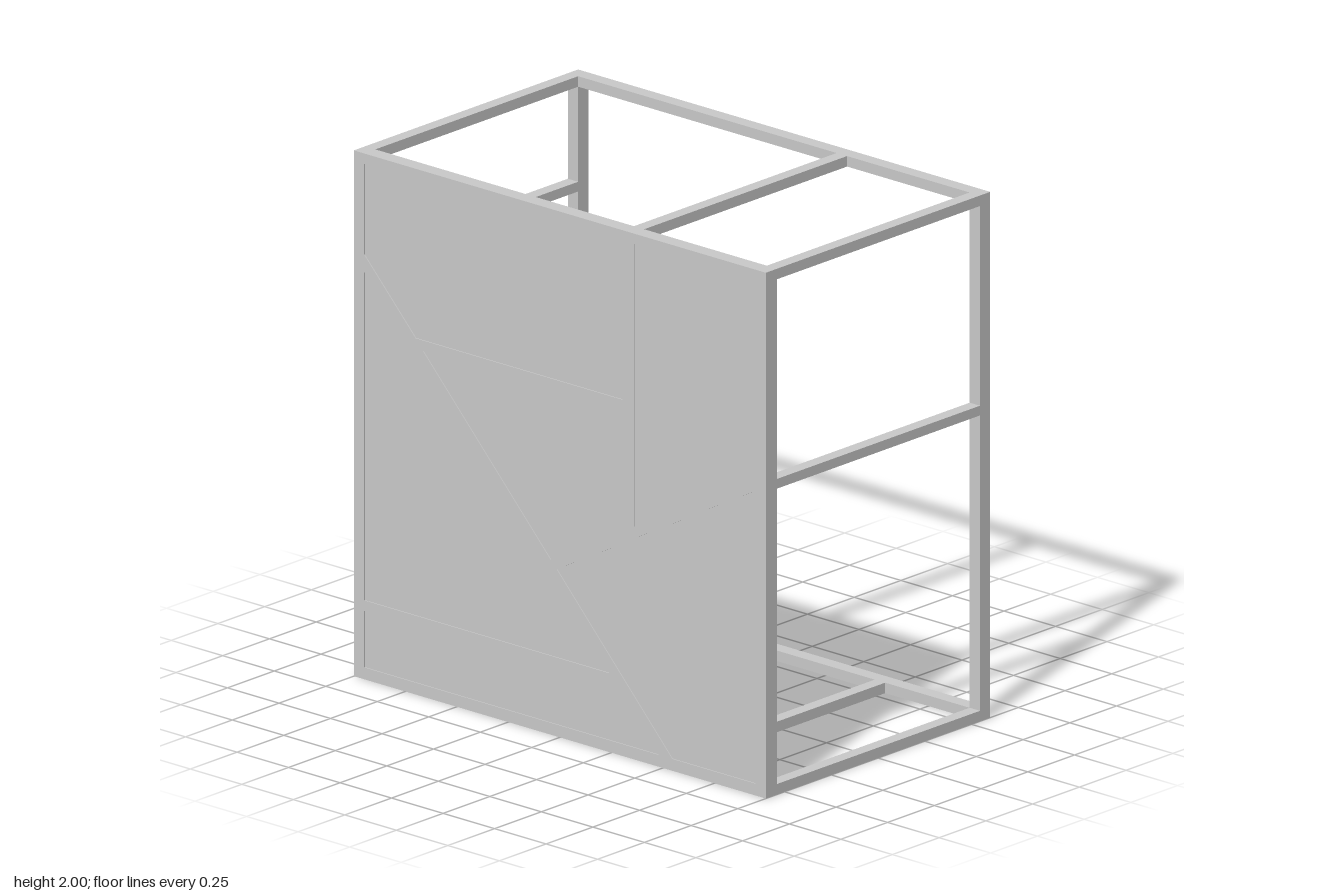
import * as THREE from 'three';

const W = 2, H = 2, D = 1.2;
const BAR = 0.05, RAIL = 0.04;          // post width, rail height
const FRONT_BACK = 0.54, FACE = 0.06;   // rear plane and depth of the front lattice

// Openings of the front lattice, each filled by one panel
const openings = {
  upperLeft: [[-0.95, 1.96], [-0.95, 1.615], [-0.7, 1.355], [0.305, 1.355], [0.305, 1.96]],
  upperRight: [[0.36, 1.96], [0.36, 0.885], [0.95, 1.21], [0.95, 1.96]],
  middle: [[-0.665, 1.315], [-0.045, 0.665], [0.305, 0.855], [0.305, 1.315]],
  lowerLeft: [[-0.95, 1.55], [-0.95, 0.3], [0.24, 0.3]],
  bottom: [[-0.95, 0.26], [-0.95, 0.045], [0.48, 0.045], [0.28, 0.26]],
  lowerRight: [[0.95, 1.16], [-0.015, 0.635], [0.545, 0.045], [0.95, 0.045]],
};

// Fixing plates behind the panels: x, y, rotation
const DIAG = Math.PI / 4, ARM = -1.07, UP = Math.PI / 2;
const plates = [
  [0.70, 1.95, 0], [-0.67, 1.95, 0], [-0.33, 1.34, UP], [0.34, 1.64, 0], [0.34, 1.1, 0],
  [0.67, 1.04, ARM], [0.13, 0.75, ARM], [0.10, 0.51, DIAG], [-0.32, 0.95, DIAG],
  [0.40, 0.19, DIAG], [0.70, 0.05, 0], [0.17, 0.05, 0], [-0.07, 0.28, UP], [-0.56, 0.28, UP],
  [0.95, 1.6, UP], [0.95, 0.62, UP], [-0.95, 1.8, UP], [-0.95, 0.94, UP], [-0.95, 0.15, UP],
];

export function createModel() {
  const model = new THREE.Group();
  model.name = 'panelledFrame';
  const grey = new THREE.MeshStandardMaterial({ color: 0xcccccc });

  const add = (name, geometry, x = 0, y = 0, z = 0) => {
    const mesh = new THREE.Mesh(geometry, grey);
    mesh.name = name;
    mesh.position.set(x, y, z);
    model.add(mesh);
    return mesh;
  };
  const box = (name, w, h, d, x, y, z) => add(name, new THREE.BoxGeometry(w, h, d), x, y, z);
  const points = (list) => list.map(([x, y]) => new THREE.Vector2(x, y));

  // Front lattice: one slab pierced by the openings
  const slab = new THREE.Shape(points([[-1, 0], [1, 0], [1, H], [-1, H]]));
  for (const outline of Object.values(openings)) slab.holes.push(new THREE.Path(points(outline)));
  add('frontLattice', new THREE.ExtrudeGeometry(slab, { depth: FACE, bevelEnabled: false }), 0, 0, FRONT_BACK);

  // Infill panels, set slightly back from the lattice face
  for (const [name, outline] of Object.entries(openings)) {
    const shape = new THREE.Shape(points(outline));
    add(name + 'Panel', new THREE.ExtrudeGeometry(shape, { depth: FACE - 0.004, bevelEnabled: false }), 0, 0, FRONT_BACK);
  }

  // Back frame: two posts and two rails
  const backZ = -D / 2 + 0.0275;
  for (const s of [-1, 1]) box('backPost', BAR, H, 0.055, s * (W / 2 - BAR / 2), H / 2, backZ);
  for (const y of [RAIL / 2, H - RAIL / 2]) box('backRail', W - 2 * BAR, RAIL, 0.055, 0, y, backZ);

  // Bars running from front to back
  const z0 = -0.545, length = FRONT_BACK - z0, midZ = (FRONT_BACK + z0) / 2;
  const depthBar = (name, x, y, h = 0.037) => box(name, BAR, h, length, x, y, midZ);
  for (const s of [-1, 1]) {
    depthBar('bottomCornerBar', s * 0.975, RAIL / 2, RAIL);
    depthBar('topCornerBar', s * 0.975, H - RAIL / 2, RAIL);
  }
  depthBar('leftSideBar', 0.975, 1.182);
  depthBar('rightUpperSideBar', -0.975, 1.58);
  depthBar('rightLowerSideBar', -0.975, 0.278);
  depthBar('topCrossBar', 0.33, H - RAIL / 2, RAIL);
  depthBar('bottomCrossBar', 0.515, RAIL / 2, RAIL);

  // Thin fixing plates on the rear of the panels
  for (const [x, y, angle] of plates) {
    box('fixingPlate', 0.13, 0.05, 0.006, x, y, FRONT_BACK - 0.002).rotation.z = angle;
  }
  return model;
}
